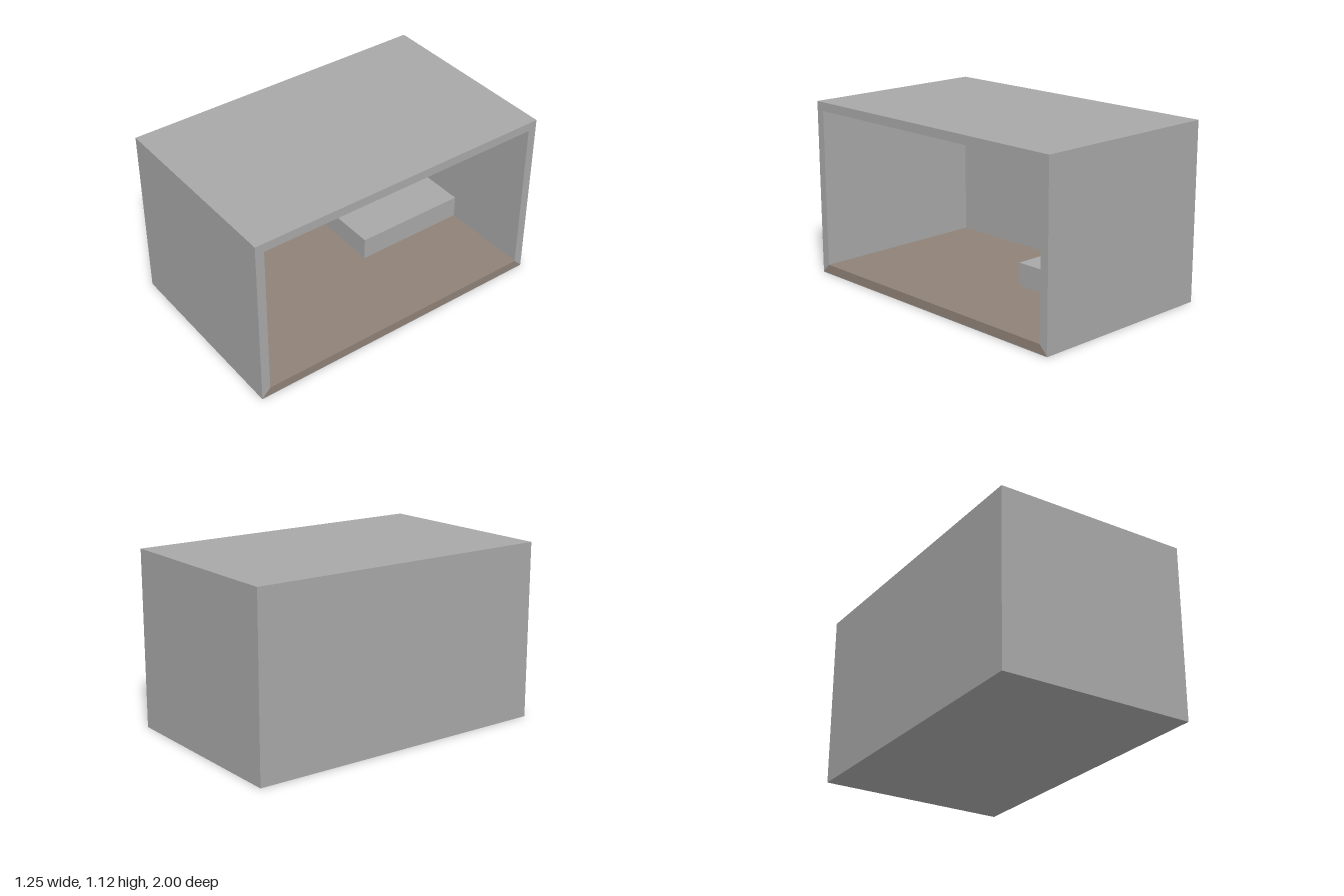
import * as THREE from 'three';

const X = 0.625, Z = 1, H = 1.12;   // outer half width, half length, height
const T = 0.056;                    // wall thickness
const SKIN = 0.003;                 // thin underside plate

export function createModel() {
  const group = new THREE.Group();
  const grey = new THREE.MeshStandardMaterial({ name: 'wall grey', color: 0xa8a8a8 });
  const brown = new THREE.MeshStandardMaterial({ name: 'floor brown', color: 0x8f8278 });

  const add = (name, geometry, material) => {
    const mesh = new THREE.Mesh(geometry, material);
    mesh.name = name;
    group.add(mesh);
    return mesh;
  };

  // box given by its lower and upper limits
  const block = (name, lo, hi, material) => {
    const size = hi.map((v, i) => v - lo[i]);
    add(name, new THREE.BoxGeometry(...size), material)
      .position.set(...lo.map((v, i) => v + size[i] / 2));
  };

  // mitred panel: a z-y cross-section run from the rear wall to the open side
  const panel = (name, points, material) => {
    const shape = new THREE.Shape(points.map(([z, y]) => new THREE.Vector2(-z, y)));
    const geometry = new THREE.ExtrudeGeometry(shape, { depth: 2 * X - T, bevelEnabled: false });
    geometry.rotateY(Math.PI / 2);
    geometry.translate(-X + T, 0, 0);
    add(name, geometry, material);
  };

  const zi = Z - T, yi = H - T, floorTop = 0.06;
  panel('floor', [[-Z, SKIN], [Z, SKIN], [zi, floorTop], [-zi, floorTop]], brown);
  panel('ceiling', [[-Z, H], [Z, H], [zi, yi], [-zi, yi]], grey);
  for (const [name, s] of [['frontWall', 1], ['backWall', -1]]) {
    panel(name, [[s * Z, SKIN], [s * Z, H], [s * zi, yi], [s * zi, floorTop]], grey);
  }

  // closed long side and underside
  block('sideWall', [-X, SKIN, -Z], [-X + T, H, Z], grey);
  block('underside', [-X, 0, -Z], [X, SKIN, Z], grey);

  // low raised platform in the rear inner corner
  block('platform', [-X + T, floorTop, -zi], [0.03, 0.207, -0.19], grey);

  return group;
}
